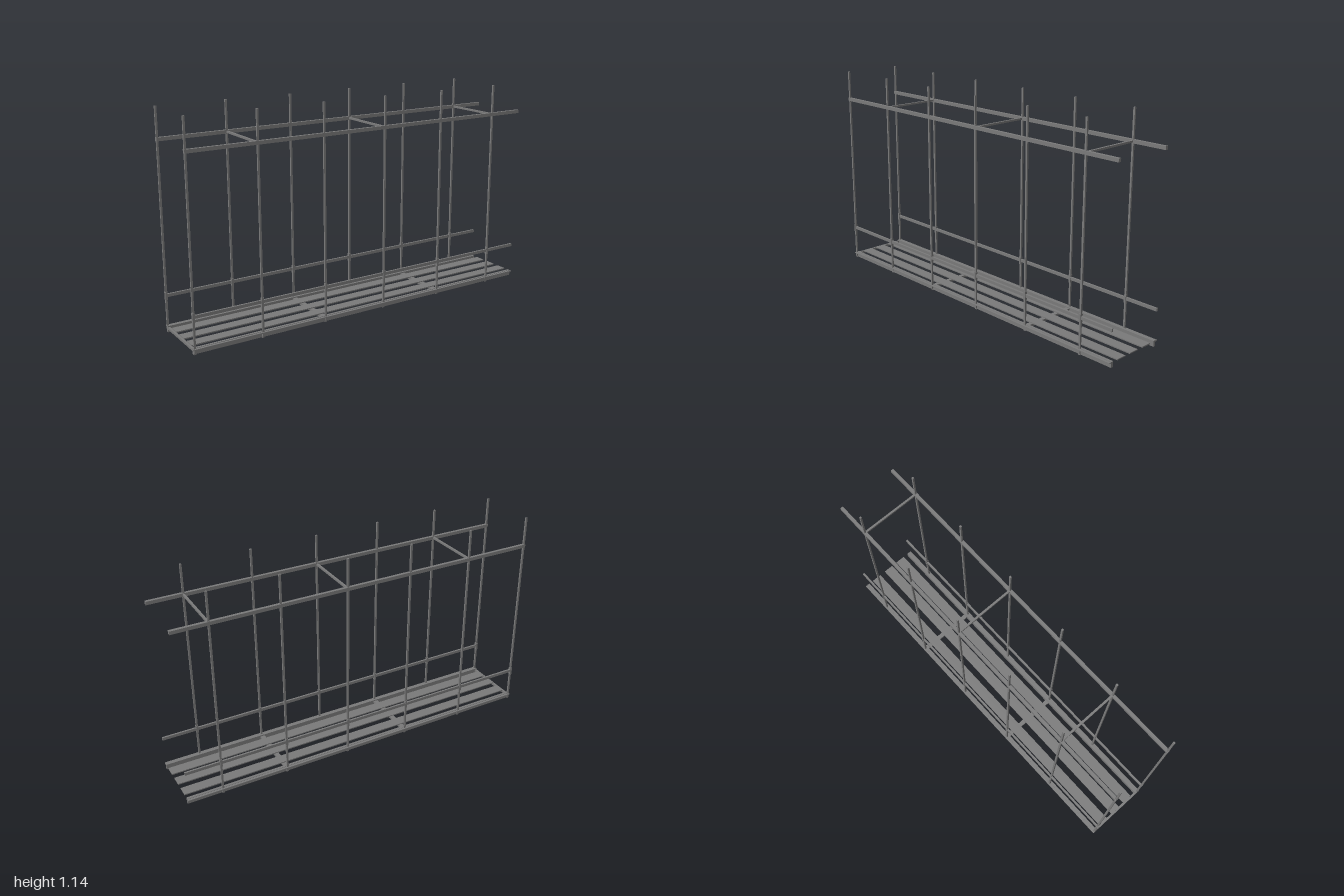
import * as THREE from 'three';

export function createModel() {
  const model = new THREE.Group();
  model.name = 'scaffoldWalkway';
  const steel = new THREE.MeshStandardMaterial({ color: 0x7a7a7a });
  steel.name = 'grey steel';

  // Box given by its extents on each axis
  function bar(name, [x0, x1], [y0, y1], [z0, z1]) {
    const mesh = new THREE.Mesh(new THREE.BoxGeometry(x1 - x0, y1 - y0, z1 - z0), steel);
    mesh.name = name;
    mesh.position.set((x0 + x1) / 2, (y0 + y1) / 2, (z0 + z1) / 2);
    model.add(mesh);
  }
  const around = (c, size) => [c - size / 2, c + size / 2];

  const length = [-1, 1];
  const sideZ = 0.166;
  const postX = Array.from({ length: 6 }, (_, i) => -0.994 + i * 0.361);

  for (const s of [1, -1]) {
    const z = s * sideZ;
    // Bottom side beam: upright web with an outward top flange
    bar('sideBeamWeb', length, [0.003, 0.033], around(s * 0.158, 0.014));
    bar('sideBeamFlange', length, [0.026, 0.031], around(s * 0.171, 0.014));
    // Guard rails
    bar('middleRail', length, around(0.19, 0.016), around(z, 0.01));
    bar('topRail', length, around(0.976, 0.018), around(z, 0.016));
    // Posts with a sleeve at the middle rail
    for (const x of postX) {
      bar('post', around(x, 0.01), [0.008, 1.136], around(z, 0.009));
      bar('postSleeve', around(x, 0.012), [0.168, 0.21], around(z, 0.015));
      bar('postFoot', around(x, 0.012), [0, 0.02], around(s * 0.16, 0.016));
    }
  }

  // Deck planks
  for (const z of [-0.094, 0, 0.092])
    bar('deckPlank', [-0.99, 1], [0.026, 0.032], around(z, 0.058));

  // Cross bars alternate between the deck and the top rails
  postX.forEach((x, i) => {
    if (i % 2) bar('topCrossBar', around(x, 0.011), around(0.976, 0.01), [-sideZ, sideZ]);
    else bar('deckCrossBar', around(x, i ? 0.024 : 0.012), [0.015, 0.027], [-sideZ, sideZ]);
  });

  return model;
}
